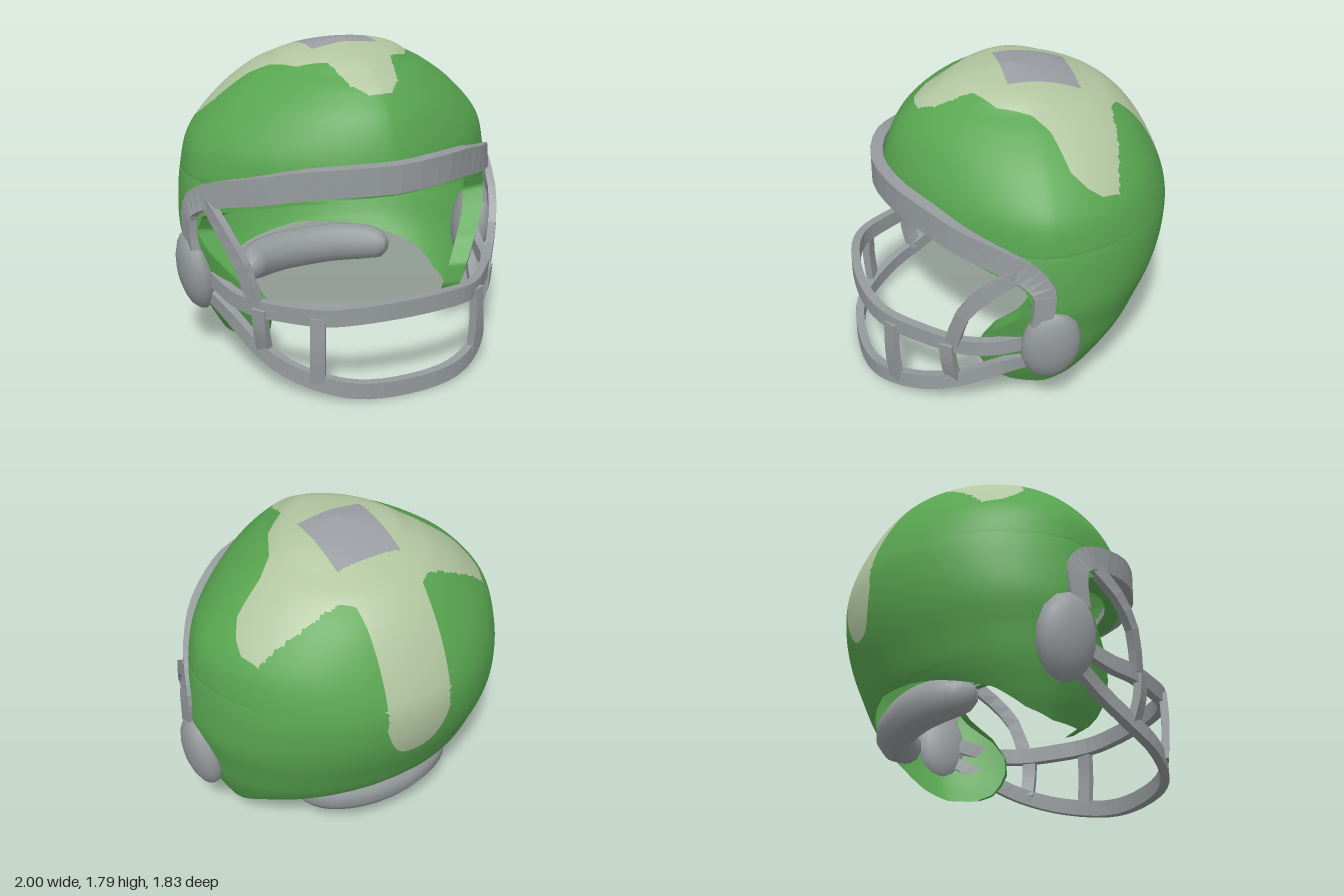
import * as THREE from 'three';
import { mergeVertices } from 'three/addons/utils/BufferGeometryUtils.js';

const mat = (name, color, side = THREE.FrontSide) => {
  const m = new THREE.MeshStandardMaterial({ color, side });
  m.name = name;
  return m;
};

// Piecewise-linear lookup in a list of [key, value], keys rising
function lookup(table, k) {
  if (k <= table[0][0]) return table[0][1];
  for (let i = 1; i < table.length; i++) {
    const [a, va] = table[i - 1], [b, vb] = table[i];
    if (k <= b) return va + (vb - va) * (k - a) / (b - a);
  }
  return table[table.length - 1][1];
}

// Shell cross-sections from crown to cheek: height, half width, front z, back z
const SECTIONS = [
  [1.79, 0, -0.04, -0.04], [1.74, 0.295, 0.27, -0.27], [1.67, 0.425, 0.41, -0.46], [1.6, 0.545, 0.51, -0.6],
  [1.47, 0.71, 0.62, -0.73], [1.28, 0.87, 0.69, -0.84], [1.08, 0.92, 0.71, -0.91], [0.9, 0.94, 0.71, -0.91],
  [0.73, 0.94, 0.71, -0.87], [0.56, 0.9, 0.7, -0.8], [0.4, 0.86, 0.68, -0.72], [0.25, 0.8, 0.65, -0.6],
  [0.12, 0.73, 0.6, -0.5],
];
const sizeCurve = new THREE.CatmullRomCurve3(SECTIONS.map(s => new THREE.Vector3(s[0], s[1], s[2])), false, 'catmullrom');
const backCurve = new THREE.CatmullRomCurve3(SECTIONS.map(s => new THREE.Vector3(s[3], 0, 0)), false, 'catmullrom');

// Face opening (front limit) and neck rim (back limit): height, z
const OPENING = [[0.12, 0.12], [0.15, 0.2], [0.22, 0.26], [0.3, 0.3], [0.42, 0.31], [0.55, 0.25], [0.7, 0.12],
  [0.8, 0.06], [0.9, 0.1], [0.94, 0.2], [0.99, 0.35], [1.04, 0.5], [1.1, 0.73], [1.12, 1]];
const NECK = [[0.12, -0.05], [0.17, -0.2], [0.27, -0.36], [0.36, -0.6], [0.4, -0.71], [0.42, -1]];

// Point on the left half of the shell: u front to back, v crown to rim
const FRONT_POWER = 1.6;
function shellPoint(u, v) {
  const s = sizeCurve.getPoint(v), zb = backCurve.getPoint(v).x;
  const y = s.x, w = Math.max(s.y, 0), zf = s.z;
  const zc = -0.04 - 0.03 * Math.min(1, v * 6);
  const front = Math.max(zf - zc, 0), back = Math.max(zc - zb, 0);
  const angle = z => {
    const d = z - zc;
    return d > 0
      ? Math.acos(Math.min(1, d / (front + 1e-6)) ** (FRONT_POWER / 2))
      : Math.acos(-Math.min(1, -d / (back + 1e-6)));
  };
  const a0 = y > 1.12 ? 0 : angle(lookup(OPENING, y));
  const a1 = y > 0.42 ? Math.PI : angle(lookup(NECK, y));
  const a = a0 + (a1 - a0) * u, c = Math.cos(a), sn = Math.max(0, Math.sin(a));
  const e = 2 / FRONT_POWER;
  if (c > 0) return new THREE.Vector3(w * sn ** e, y, zc + front * c ** e);
  return new THREE.Vector3(u === 1 && y > 0.42 ? 0 : w * sn, y, zc + back * c);
}

// Painted cross seen from above (one half), as x, z
const CROSS = [[0, 0.51], [0.07, 0.5], [0.14, 0.42], [0.19, 0.22], [0.33, 0.12], [0.42, -0.05], [0.52, -0.13],
  [0.7, -0.19], [0.755, -0.27], [0.77, -0.35], [0.73, -0.45], [0.5, -0.51], [0.28, -0.53], [0.21, -0.58], [0.2, -0.68],
  [0.2, -1], [-0.1, -1], [-0.1, 0.51]];
function region(p) {
  const x = Math.abs(p.x), { y, z } = p;
  if (y > 1.5 && x < 0.2 && z > -0.38 && z < 0.03) return 2;
  if (y < (z > -0.6 ? 1.3 : 0.73 + 0.22 * (x / 0.2) ** 3)) return 0;
  let inside = false;
  CROSS.forEach(([x1, z1], i) => {
    const [x2, z2] = CROSS[(i + 1) % CROSS.length];
    if ((z1 > z) !== (z2 > z) && x < x1 + (x2 - x1) * (z - z1) / (z2 - z1)) inside = !inside;
  });
  return inside ? 1 : 0;
}

function shellGeometry() {
  const N = 104, M = 144, pos = [], tris = [[], [], []];
  const grid = [];
  for (let i = 0; i <= M; i++) for (let j = 0; j <= N; j++) {
    const u = j / N, v = i / M, k = region(shellPoint(u, v));
    let best = [u, v], bestT = 1;
    // Pull vertices onto the paint edge so that it stays clean
    const moves = [];
    if (j > 0 && j < N) moves.push([0.52 / N, 0], [-0.52 / N, 0]);
    if (i > 0 && i < M) moves.push([0, 0.52 / M], [0, -0.52 / M]);
    for (const [du, dv] of moves) {
      if (region(shellPoint(u + du, v + dv)) === k) continue;
      let lo = 0, hi = 1;
      for (let n = 0; n < 8; n++) {
        const t = (lo + hi) / 2;
        if (region(shellPoint(u + du * t, v + dv * t)) === k) lo = t; else hi = t;
      }
      if (lo < bestT) { bestT = lo; best = [u + du * lo, v + dv * lo]; }
    }
    grid.push(shellPoint(best[0], best[1]));
  }
  for (const side of [1, -1]) {
    const base = pos.length / 3;
    grid.forEach(p => pos.push(p.x * side, p.y, p.z));
    const add = (a, b, c) => {
      const mid = grid[a].clone().add(grid[b]).add(grid[c]).divideScalar(3);
      const f = side > 0 ? [a, b, c] : [a, c, b];
      tris[region(mid)].push(...f.map(n => n + base));
    };
    for (let i = 0; i < M; i++) for (let j = 0; j < N; j++) {
      const a = i * (N + 1) + j, d = a + N + 1;
      add(a, d, d + 1);
      add(a, d + 1, a + 1);
    }
  }
  let g = new THREE.BufferGeometry();
  g.setAttribute('position', new THREE.Float32BufferAttribute(pos, 3));
  g.setIndex(tris.flat());
  g = mergeVertices(g, 1e-4);
  let start = 0;
  tris.forEach((t, i) => { g.addGroup(start, t.length, i); start += t.length; });
  g.computeVertexNormals();
  return g;
}

const flipX = pts => pts.map(([x, y, z]) => [-x, y, z]);
const bothSides = half => [...flipX(half.slice(1)).reverse(), ...half];

// Lip turned inward all along the face opening
function lipGeometry() {
  const half = [];
  for (let i = 0; i <= 60; i++) {
    const p = shellPoint(0, 0.485 + 0.515 * i / 60);
    half.push([i === 0 ? 0 : p.x, p.y, p.z]);
  }
  const pos = [], idx = [];
  bothSides(half).forEach(([x, y, z], i) => {
    pos.push(x, y, z, x * 0.86, y - 0.02, -0.07 + (z + 0.07) * 0.86);
    if (i) idx.push(2 * i - 2, 2 * i - 1, 2 * i, 2 * i, 2 * i - 1, 2 * i + 1);
  });
  const g = new THREE.BufferGeometry();
  g.setAttribute('position', new THREE.Float32BufferAttribute(pos, 3));
  g.setIndex(idx);
  g.computeVertexNormals();
  return g;
}

// Sweep a section (across, outward) along a path that wraps around the head
function sweep(points, section, steps, flat, taper = () => [1, 1]) {
  const curve = new THREE.CatmullRomCurve3(points.map(p => new THREE.Vector3(...p)));
  const pos = [], idx = [], n = section.length;
  for (let i = 0; i <= steps; i++) {
    const t = i / steps, p = curve.getPoint(t), T = curve.getTangent(t), [ka, kb] = taper(t);
    const N = new THREE.Vector3(p.x, 0, p.z + 0.07);
    N.addScaledVector(T, -N.dot(T)).normalize();
    const B = new THREE.Vector3().crossVectors(T, N);
    section.forEach(([a, b]) => pos.push(...p.clone().addScaledVector(B, a * ka).addScaledVector(N, b * kb).toArray()));
  }
  for (let i = 0; i < steps; i++) for (let j = 0; j < n; j++) {
    const a = i * n + j, b = i * n + (j + 1) % n;
    idx.push(a, a + n, b + n, a, b + n, b);
  }
  const e = steps * n;
  for (let j = 1; j < n - 1; j++) idx.push(0, j, j + 1, e, e + j + 1, e + j);
  let g = new THREE.BufferGeometry();
  g.setAttribute('position', new THREE.Float32BufferAttribute(pos, 3));
  g.setIndex(idx);
  if (flat) g = g.toNonIndexed();
  g.computeVertexNormals();
  return g;
}

const rect = (w, t) => [[-w / 2, -t / 2], [w / 2, -t / 2], [w / 2, t / 2], [-w / 2, t / 2]];

export function createModel() {
  const group = new THREE.Group();
  group.name = 'helmet';
  const green = mat('shell green', 0x58a550, THREE.DoubleSide);
  const pale = mat('pale green paint', 0xb2c6a0, THREE.DoubleSide);
  const square = mat('crown grey paint', 0x9a9ea3, THREE.DoubleSide);
  const grey = mat('mask and pad grey', 0x959a9c);
  const add = (name, geometry, material) => {
    const m = new THREE.Mesh(geometry, material);
    m.name = name;
    group.add(m);
    return m;
  };

  add('shell', shellGeometry(), [green, pale, square]);
  add('openingLip', lipGeometry(), green);

  // Long bars of the face mask, running from ear to ear: width, end width factor, thickness, half path
  const bars = {
    browBar: [0.16, 0.62, 0.07, [[0, 1.205, 0.73], [0.28, 1.2, 0.67], [0.48, 1.17, 0.55], [0.66, 1.115, 0.4], [0.81, 1.05, 0.2],
      [0.885, 0.99, 0.07], [0.92, 0.91, 0.005], [0.925, 0.8, 0], [0.92, 0.68, 0.02]]],
    upperJawBar: [0.1, 0.85, 0.05, [[0, 0.52, 0.885], [0.25, 0.515, 0.86], [0.43, 0.495, 0.78], [0.6, 0.475, 0.6],
      [0.73, 0.465, 0.42], [0.79, 0.47, 0.25], [0.84, 0.52, 0.06]]],
    lowerJawBar: [0.095, 0.8, 0.05, [[0, 0.05, 0.885], [0.25, 0.06, 0.86], [0.42, 0.085, 0.78], [0.6, 0.14, 0.6],
      [0.7, 0.21, 0.4], [0.77, 0.31, 0.2], [0.84, 0.4, 0.04]]],
  };
  for (const [name, [w, end, t, half]] of Object.entries(bars)) {
    const narrow = s => [1 - (1 - end) * Math.abs(2 * s - 1) ** 2, 1];
    add(name, sweep(bothSides(half), rect(w, t), 40, true, narrow), grey);
  }

  // Short struts of the mask
  const struts = {
    frontStrut: [[0.48, 0.49, 0.76], [0.485, 0.3, 0.765], [0.48, 0.1, 0.75]],
    sideStrut: [[0.71, 0.47, 0.49], [0.7, 0.33, 0.48], [0.67, 0.19, 0.45]],
    cheekStrut: [[0.87, 0.99, 0.12], [0.83, 0.86, 0.29], [0.775, 0.7, 0.41], [0.72, 0.48, 0.46]],
  };
  for (const [name, pts] of Object.entries(struts)) {
    add(name + 'Left', sweep(pts, rect(0.08, 0.045), 6, true), grey);
    add(name + 'Right', sweep(flipX(pts), rect(0.08, 0.045), 6, true), grey);
  }

  // Ear pads, leaning in at the bottom
  for (const side of [1, -1]) {
    const pad = add(side > 0 ? 'earPadLeft' : 'earPadRight', new THREE.SphereGeometry(1, 14, 10).rotateZ(Math.PI / 2), grey);
    pad.scale.set(0.1, 0.245, 0.17);
    pad.position.set(0.895 * side, 0.52, -0.05);
    pad.rotation.z = -0.15 * side;
  }

  // Neck pad along the back rim
  const oval = Array.from({ length: 10 }, (_, i) => {
    const a = i / 10 * Math.PI * 2;
    return [0.125 * Math.cos(a), 0.115 * Math.sin(a)];
  });
  const neck = bothSides([[0, 0.29, -0.6], [0.2, 0.295, -0.575], [0.36, 0.3, -0.5], [0.47, 0.31, -0.37]]);
  const round = t => Array(2).fill(0.35 + 0.65 * Math.sqrt(1 - (2 * t - 1) ** 4));
  add('neckPad', sweep(neck, oval, 24, false, round), grey);

  return group;
}
